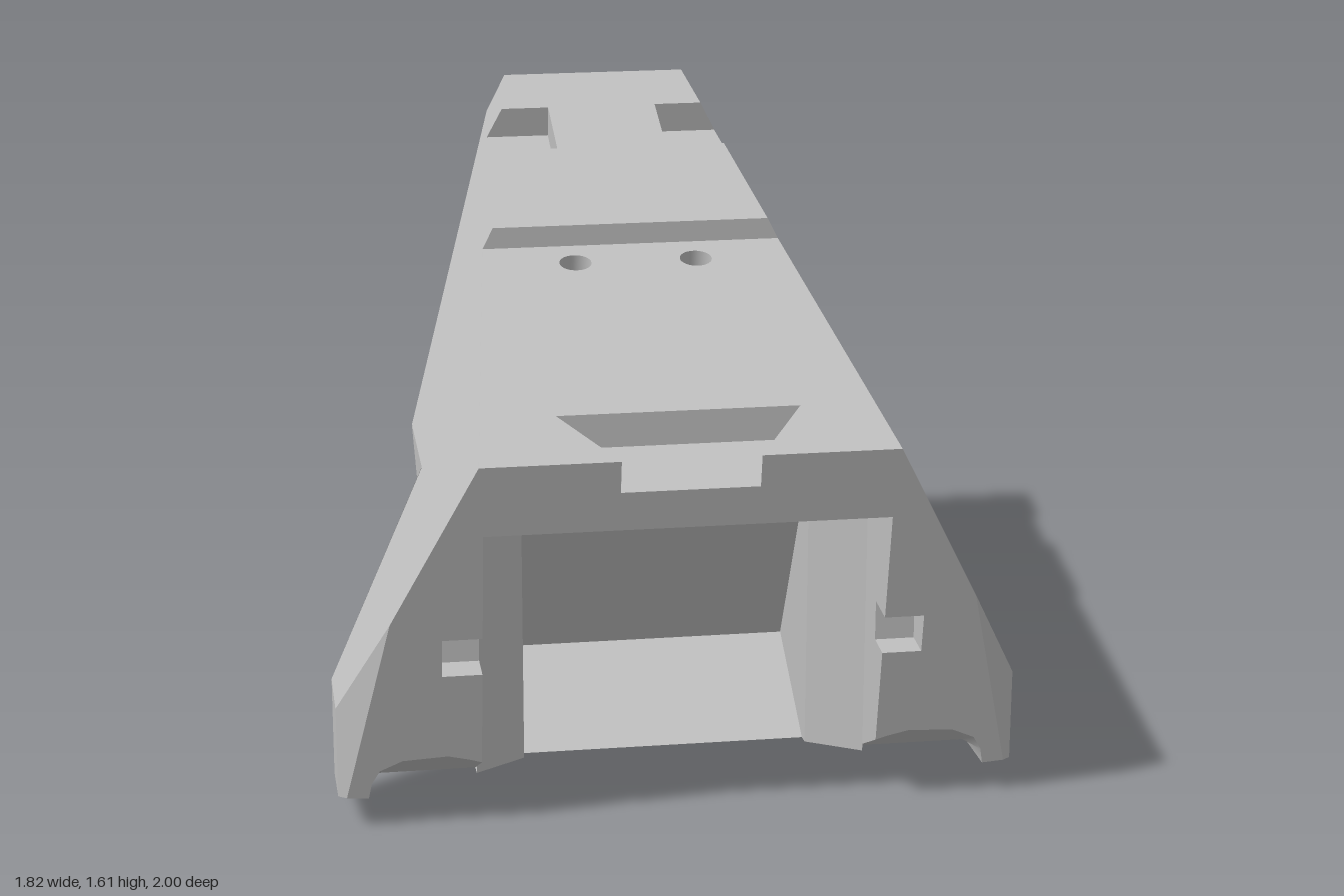
import * as THREE from 'three';

const grey = new THREE.MeshStandardMaterial({ color: 0xc0c0c0, side: THREE.DoubleSide });
grey.name = 'plain grey';

// Main planes of the body
const frontZ = y => 0.8 + (y - 0.09) * 0.2 / 0.98;
const slopeX = y => 0.27 + (1.61 - y) * 0.504;
const deckY = z => 1.2787 - 0.2087 * z;
const rearDeckY = z => 1.3276 - 0.2824 * z;
const wingY = z => 0.9 - 0.6 * z;
const stripY = z => 0.79 - 0.6 * z;
const bottomY = z => 0.09 * (z - 0.06) / 0.74;
const backZ = y => 0.145 + (y - 0.225) * 0.586;

// Ways of laying a flat outline on a plane
const onFront = (x, y) => [x, y, frontZ(y)];
const onSlope = (z, y) => [slopeX(y), y, z];
const onX = x => (z, y) => [x, y, z];
const onY = f => (x, z) => [x, f(z), z];

export function createModel() {
  const model = new THREE.Group();
  const parts = {};

  // Adds a mesh and its mirror image to a named part
  function add(name, geometry, out) {
    if (!parts[name]) {
      parts[name] = new THREE.Group();
      parts[name].name = name;
      model.add(parts[name]);
    }
    for (const side of [1, -1]) {
      const g = geometry.clone();
      const pos = g.attributes.position;
      for (let i = 0; i < pos.count; i++) pos.setX(i, pos.getX(i) * side);
      g.computeVertexNormals();
      const n = new THREE.Vector3().fromBufferAttribute(g.attributes.normal, 0);
      const turn = out ? n.dot(new THREE.Vector3(out[0] * side, out[1], out[2])) < 0 : side < 0;
      if (turn) {
        const ix = g.index.array;
        for (let i = 0; i < ix.length; i += 3) [ix[i], ix[i + 1]] = [ix[i + 1], ix[i]];
        g.computeVertexNormals();
      }
      const mesh = new THREE.Mesh(g, grey);
      mesh.name = name + (side > 0 ? 'Left' : 'Right');
      parts[name].add(mesh);
    }
  }

  // Flat face from a 2D outline, with an optional hole
  function face(name, outline, map, out, hole) {
    const shape = new THREE.Shape(outline.map(p => new THREE.Vector2(...p)));
    if (hole) shape.holes.push(new THREE.Path(hole.map(p => new THREE.Vector2(...p))));
    const g = new THREE.ShapeGeometry(shape);
    const pos = g.attributes.position;
    for (let i = 0; i < pos.count; i++) pos.setXYZ(i, ...map(pos.getX(i), pos.getY(i)));
    add(name, g, out);
  }

  // Skin between two rows of points
  function loft(name, a, b, out) {
    const g = new THREE.BufferGeometry();
    g.setAttribute('position', new THREE.Float32BufferAttribute([...a, ...b].flat(), 3));
    const index = [];
    for (let i = 0, n = a.length; i < n - 1; i++) index.push(i, i + 1, n + i, i + 1, n + i + 1, n + i);
    g.setIndex(index);
    add(name, g, out);
  }

  // Points where a bolt hole meets a plane y = f(z)
  function ring(r, f, t0 = 0, t1 = Math.PI * 2) {
    const m = f(1) - f(0), c = f(0), n = 32, points = [];
    for (let i = 0; i <= n; i++) {
      const t = t0 + (t1 - t0) * i / n;
      const y = 1.289 + 0.204 * r * Math.sin(t), z = -0.05 - 0.979 * r * Math.sin(t);
      const k = (m * z + c - y) / (-0.979 + m * 0.204);
      points.push([0.17 + r * Math.cos(t), y - 0.979 * k, z - 0.204 * k]);
    }
    return points;
  }
  const flat = points => points.map(p => [p[0], p[2]]);
  const loop = points => flat(points).slice(0, -1);

  // Front face with its opening, side slots and scalloped feet
  const scallop = [[0.83, 0.085], [0.822, 0.13], [0.80, 0.17], [0.74, 0.198], [0.62, 0.205], [0.56, 0.19], [0.53, 0.18]];
  face('frontFace', [[0, 0.98], [0.18, 0.98], [0.18, 1.07], [0.542, 1.07], [0.77, 0.62], [0.888, 0.09],
    ...scallop, [0.53, 0.455], [0.635, 0.455], [0.635, 0.565], [0.53, 0.565], [0.53, 0.87], [0, 0.87]],
  onFront, [0, 0, 1]);
  loft('footScoop', scallop.map(p => onFront(...p)), scallop.map(p => [p[0], bottomY(0.6), 0.6]), null);
  face('footScoop', [[frontZ(0.085), 0.085], [0.6, bottomY(0.6)], [0.8, 0.09]], onX(0.83), [-1, 0, 0]);

  // Front deck with bolt holes and a flared notch
  face('frontDeck', [[0, 0.765], [0.32, 0.765], [0.18, 1], [0.542, 1], [0.421, -0.15], [0, -0.15]],
    onY(deckY), [0, 1, 0], loop(ring(0.045, deckY)));
  const notchY = z => deckY(z) - 0.092;
  face('deckNotch', [[0, 0.765], [0.32, 0.765], [0.18, 0.982], [0, 0.982]], onY(notchY), [0, 1, 0]);
  loft('deckNotch', [[0, deckY(0.765), 0.765], [0.32, deckY(0.765), 0.765]],
    [[0, notchY(0.765), 0.765], [0.32, notchY(0.765), 0.765]], [0, 0, 1]);
  loft('deckNotch', [[0.32, deckY(0.765), 0.765], [0.18, 1.07, 1]],
    [[0.32, notchY(0.765), 0.765], [0.18, 0.98, 0.982]], [-1, 0, 0]);

  // Step up to the rear deck, which has a pocket at each edge
  loft('deckStep', [[0, 1.31, -0.15], [0.421, 1.31, -0.15]], [[0, 1.37, -0.15], [0.391, 1.37, -0.15]], [0, 0, 1]);
  const pf = rearDeckY(-0.565), pr = rearDeckY(-0.8);
  face('rearDeck', [[0, -0.15], [0.391, -0.15], [slopeX(pf), -0.565], [0.16, -0.565], [0.16, -0.8],
    [slopeX(pr), -0.8], [0.27, -1], [0, -1]], onY(rearDeckY), [0, 1, 0]);
  const topFront = [[0.16, pf, -0.565], onSlope(-0.565, pf)], lowFront = [[0.16, 1.4, -0.59], onSlope(-0.59, 1.4)];
  const topRear = [[0.16, pr, -0.8], onSlope(-0.8, pr)], lowRear = [[0.16, 1.465, -0.815], onSlope(-0.815, 1.465)];
  loft('edgePocket', lowFront, lowRear, [0, 1, 0]);
  loft('edgePocket', topFront, lowFront, [0, 0, -1]);
  loft('edgePocket', topRear, lowRear, [0, 0, 1]);
  loft('edgePocket', [topFront[0], topRear[0]], [lowFront[0], lowRear[0]], [1, 0, 0]);

  // Sloping sides
  face('slopingSide', [[1, 1.07], [-0.15, 1.31], [-0.15, 1.37], [-0.565, pf], [-0.59, 1.4], [-0.815, 1.465],
    [-0.8, pr], [-1, 1.61], [-1, 1.5], [0.05, 0.87], [0.41, 0.87], [0.58, 0.34], [0.78, 0.34], [0.908, 0.62]],
  onSlope, [1, 0, 0]);

  // Upright lower sides, flares and front chamfers
  face('lowerSide', [[0.05, 0.87], [0.41, 0.87], [0.41, bottomY(0.41)], [0.06, 0], [-0.01, 0.12], [0.333, 0.7]],
    onX(0.644), [1, 0, 0]);
  loft('flare', [[0.644, 0.87, 0.41], [0.91, 0.34, 0.58]],
    [[0.644, bottomY(0.41), 0.41], [0.91, bottomY(0.58), 0.58]], [0, 0, -1]);
  face('outerSide', [[0.58, 0.34], [0.78, 0.34], [0.78, bottomY(0.78)], [0.58, bottomY(0.58)]], onX(0.91), [1, 0, 0]);
  loft('frontChamfer', [[0.77, 0.62, 0.908], [0.91, 0.34, 0.78]],
    [[0.888, 0.09, 0.8], [0.91, bottomY(0.78), 0.78]], [1, 0, 1]);

  // Wing end, wing underside and central rib
  const w = 0.19;
  face('wingEnd', [[0, 1.61], [0.27, 1.61], [slopeX(1.5), 1.5], [w, 1.5], [w, 1.39], [0, 1.39]],
    (x, y) => [x, y, -1], [0, 0, -1]);
  face('wingUnderside', [[0, -1], [slopeX(1.5), -1], [0.643, 0.05], [0.644, 0.333], [0, 0.333]],
    onY(wingY), [0, -1, 0], loop(ring(0.095, wingY)));
  const t0 = Math.acos((w - 0.17) / 0.095), t1 = Math.PI * 2 - t0;
  const ribArc = ring(0.095, stripY, t0, t1), wingArc = ring(0.095, wingY, t0, t1);
  face('rib', [[0, -1], [w, -1], ...flat(ribArc), [w, 0.283], [0, 0.283]], onY(stripY), [0, -1, 0]);
  const zy = p => [p[2], p[1]];
  face('rib', [[-1, 1.5], [-1, 1.39], zy(ribArc[0]), zy(wingArc[0])], onX(w), [1, 0, 0]);
  face('rib', [zy(wingArc[32]), zy(ribArc[32]), [0.283, 0.62], [0.333, 0.7]], onX(w), [1, 0, 0]);

  // Counterbored bolt holes
  const seatY = z => deckY(z) - 0.2;
  loft('boltHole', ring(0.045, deckY), ring(0.045, seatY));
  loft('boltHole', ring(0.095, seatY, t0, t1), ribArc);
  loft('boltHole', ring(0.095, seatY, t1 - Math.PI * 2, t0), ring(0.095, wingY, t1 - Math.PI * 2, t0));
  face('boltHole', loop(ring(0.095, seatY)), onY(seatY), [0, -1, 0], loop(ring(0.045, seatY)));

  // Slanted back of the leg and its bevel
  const across = (y, z) => [[0, y, z], [0.644, y, z]];
  loft('legBack', across(0.7, 0.333), across(0.12, -0.01), [0, 0, -1]);
  loft('legBevel', across(0.12, -0.01), across(0, 0.06), [0, -1, -1]);

  // Underside around the cavity
  face('bottom', [[0, 0.06], [0.644, 0.06], [0.644, 0.41], [0.91, 0.58], [0.91, 0.78], [0.888, 0.8], [0.83, 0.8],
    [0.83, 0.6], [0.53, 0.6], [0.53, 0.65], [0.39, 0.54], [0.39, 0.5], [0, 0.5]], onY(bottomY), [0, -1, 0]);

  // Cavity: ceiling, side walls, back wall and sloping floor
  face('cavityCeiling', [[0, frontZ(0.87)], [0.53, frontZ(0.87)], [0.53, 0.65], [0.39, 0.54],
    [0.39, backZ(0.87)], [0, backZ(0.87)]], onY(() => 0.87), [0, -1, 0]);
  face('cavitySide', [[frontZ(0.87), 0.87], [0.65, 0.87], [0.65, bottomY(0.65)], [0.6, bottomY(0.6)],
    [frontZ(0.18), 0.18], [frontZ(0.455), 0.455], [0.78, 0.455], [0.78, 0.565], [frontZ(0.565), 0.565]],
  onX(0.53), [-1, 0, 0]);
  loft('cavityCorner', [[0.53, 0.87, 0.65], [0.39, 0.87, 0.54]],
    [[0.53, bottomY(0.65), 0.65], [0.39, bottomY(0.54), 0.54]], [-1, 0, 1]);
  face('pocketSide', [[0.54, 0.87], [backZ(0.87), 0.87], [0.145, 0.225], [0.5, bottomY(0.5)], [0.54, bottomY(0.54)]],
    onX(0.39), [-1, 0, 0]);
  const span = (y, z) => [[0, y, z], [0.39, y, z]];
  loft('pocketBack', span(0.87, backZ(0.87)), span(0.225, 0.145), [0, 0, 1]);
  loft('pocketFloor', span(0.225, 0.145), span(bottomY(0.5), 0.5), [0, 1, 0]);

  // Small slots at the sides of the opening
  for (const [y, up] of [[0.455, 1], [0.565, -1]]) {
    loft('sideSlot', [[0.53, y, 0.78], [0.635, y, 0.78]], [onFront(0.53, y), onFront(0.635, y)], [0, up, 0]);
  }
  loft('sideSlot', [[0.53, 0.455, 0.78], [0.635, 0.455, 0.78]], [[0.53, 0.565, 0.78], [0.635, 0.565, 0.78]], [0, 0, 1]);
  loft('sideSlot', [[0.635, 0.455, 0.78], onFront(0.635, 0.455)], [[0.635, 0.565, 0.78], onFront(0.635, 0.565)], [-1, 0, 0]);

  return model;
}
